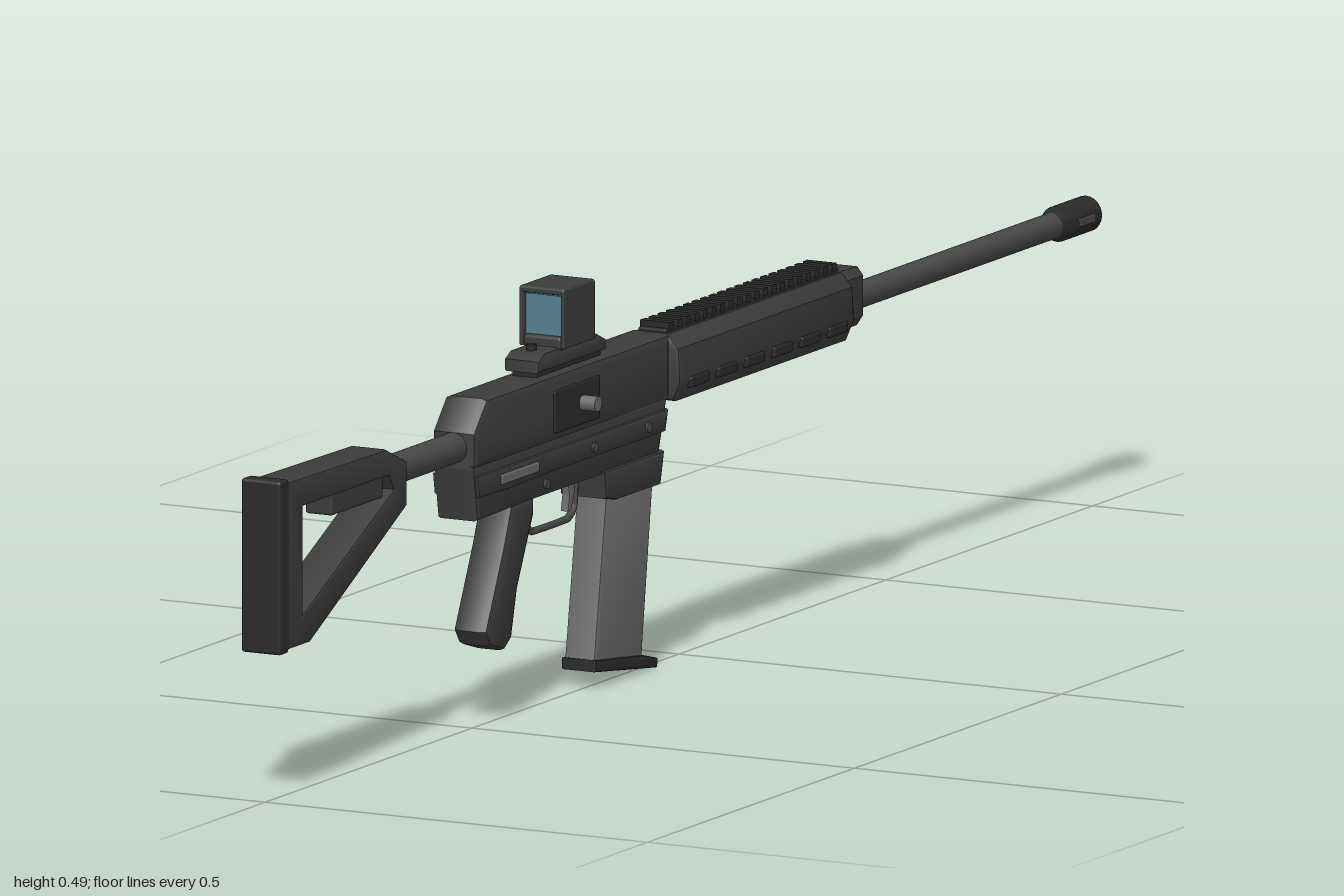
import * as THREE from 'three';
import { RoundedBoxGeometry } from 'three/addons/geometries/RoundedBoxGeometry.js';
import { toCreasedNormals } from 'three/addons/utils/BufferGeometryUtils.js';

const CX = -0.006; // centre plane of the rifle

function material(name, color) {
  const m = new THREE.MeshStandardMaterial({ color });
  m.name = name;
  return m;
}

export function createModel() {
  const body = material('dark grey polymer', 0x3c3c3c);
  const metal = material('barrel steel', 0x484848);
  const black = material('black trim', 0x2a2a2a);
  const light = material('light steel', 0x6c6c6c);
  const glass = material('lens glass', 0x55808f);
  glass.side = THREE.DoubleSide;

  const model = new THREE.Group();
  model.name = 'rifle';

  function add(name, geometry, mat, x = CX, y = 0, z = 0, parent = model) {
    const mesh = new THREE.Mesh(geometry, mat);
    mesh.name = name;
    mesh.position.set(x, y, z);
    parent.add(mesh);
    return mesh;
  }

  function extrude(shape, depth, bevel) {
    const g = new THREE.ExtrudeGeometry(shape, {
      depth: depth - 2 * bevel, bevelEnabled: bevel > 0, bevelThickness: bevel,
      bevelSize: bevel, bevelOffset: -bevel, bevelSegments: 2, curveSegments: 8,
    });
    g.translate(0, 0, bevel - depth / 2);
    return g;
  }

  // Side profile given as [z, y] points, extruded across the width
  function side(points, width, bevel = 0.005, hole = null) {
    const flip = (list) => list.map(([z, y]) => new THREE.Vector2(-z, y));
    const shape = new THREE.Shape(flip(points));
    if (hole) shape.holes.push(new THREE.Path(flip(hole)));
    return toCreasedNormals(extrude(shape, width, bevel).rotateY(Math.PI / 2), 0.5);
  }

  // Cross-section given as [x, y] points, extruded along z
  function section(points, length, bevel = 0.005) {
    const shape = new THREE.Shape(points.map(([x, y]) => new THREE.Vector2(x, y)));
    return toCreasedNormals(extrude(shape, length, bevel), 0.5);
  }

  const box = (w, h, d, r = 0.004) => new RoundedBoxGeometry(w, h, d, 2, r);
  const rod = (r, z0, z1, r2 = r) =>
    new THREE.CylinderGeometry(r2, r, Math.abs(z1 - z0), 24).rotateX(Math.PI / 2);

  // Stock: triangular frame, cheek block, butt pad
  add('stockFrame', side(
    [[0.985, 0.373], [0.74, 0.37], [0.69, 0.348], [0.69, 0.296], [0.925, 0.176], [0.985, 0.176]],
    0.05, 0.004,
    [[0.942, 0.338], [0.942, 0.212], [0.722, 0.32], [0.735, 0.338]]), body);
  add('cheekBlock', box(0.036, 0.034, 0.125), body, CX, 0.329, 0.798);
  add('buttPad', box(0.052, 0.204, 0.022), black, CX, 0.275, 0.989);
  add('stockTube', rod(0.018, 0.53, 0.72), metal, CX, 0.334, 0.625);

  // Receiver
  add('upperReceiver', side(
    [[0.535, 0.31], [0.535, 0.352], [0.503, 0.388], [0.06, 0.388], [0.06, 0.31]],
    0.057, 0.008), body);
  add('lowerReceiver', side(
    [[0.535, 0.315], [0.524, 0.248], [0.4, 0.25], [0.085, 0.25], [0.065, 0.315]],
    0.054, 0.005), body);
  add('receiverRidge', side(
    [[0.53, 0.302], [0.526, 0.276], [0.44, 0.274], [0.36, 0.276], [0.075, 0.276], [0.068, 0.302]],
    0.061, 0.004), body);
  add('magazineWell', side(
    [[0.225, 0.255], [0.22, 0.222], [0.19, 0.216], [0.087, 0.216], [0.078, 0.255]],
    0.062, 0.005), body);

  // Ejection cover and bolt handle on the left
  add('ejectionCover', box(0.006, 0.05, 0.11, 0.002), black, CX + 0.028, 0.345, 0.29);
  add('boltStem', new THREE.CylinderGeometry(0.006, 0.006, 0.04, 12).rotateZ(Math.PI / 2),
    metal, 0.024, 0.346, 0.28);
  add('boltKnob', new THREE.CylinderGeometry(0.009, 0.009, 0.02, 16).rotateZ(Math.PI / 2),
    light, 0.036, 0.346, 0.28);

  // Selector plates and pins on both sides
  for (const s of [1, -1]) {
    add('selectorPlate', box(0.004, 0.012, 0.09, 0.0018), light, CX + s * 0.0305, 0.289, 0.43);
    for (const [y, z] of [[0.264, 0.36], [0.288, 0.25], [0.289, 0.12]]) {
      add('receiverPin', new THREE.CylinderGeometry(0.006, 0.006, 0.006, 12).rotateZ(Math.PI / 2),
        metal, CX + s * (y < 0.27 ? 0.027 : 0.03), y, z);
    }
  }

  // Pistol grip
  add('grip', side(
    [[0.432, 0.255], [0.452, 0.205], [0.496, 0.112], [0.484, 0.094], [0.448, 0.083],
      [0.43, 0.095], [0.416, 0.15], [0.376, 0.232], [0.376, 0.255]],
    0.046, 0.009), body);

  // Trigger guard and trigger
  const guard = new THREE.CatmullRomCurve3(
    [[0.25, 0.365], [0.215, 0.36], [0.203, 0.345], [0.203, 0.26], [0.215, 0.243], [0.25, 0.24]]
      .map(([y, z]) => new THREE.Vector3(0, y, z)), false, 'catmullrom', 0.2);
  add('triggerGuard', new THREE.TubeGeometry(guard, 32, 0.0045, 8), metal);
  add('trigger', side(
    [[0.268, 0.255], [0.262, 0.232], [0.266, 0.213], [0.258, 0.213], [0.25, 0.232], [0.25, 0.255]],
    0.01, 0.001), light);

  // Magazine and floor plate
  add('magazine', side(
    [[0.2, 0.225], [0.23, 0.03], [0.114, 0.014], [0.086, 0.225]], 0.04, 0.004), light);
  add('floorPlate', side(
    [[0.231, 0.034], [0.231, 0.02], [0.082, 0], [0.08, 0.011], [0.114, 0.02]],
    0.046, 0.003), black);

  // Handguard with raised side slots
  add('handguard', section(
    [[-0.022, 0.386], [-0.036, 0.37], [-0.038, 0.33], [-0.028, 0.307],
      [0.028, 0.307], [0.038, 0.33], [0.036, 0.37], [0.022, 0.386]],
    0.425, 0.007), body, CX, 0, -0.157);
  for (const s of [1, -1]) {
    for (let i = 0; i < 6; i++) {
      add('handguardSlot', box(0.008, 0.013, 0.045, 0.003), black,
        CX + s * 0.0365, 0.327, 0.01 - i * 0.067);
    }
  }

  // Top rail with teeth
  add('railBase', box(0.036, 0.01, 0.42, 0.002), black, CX, 0.386, -0.155);
  for (let i = 0; i < 20; i++) {
    add('railTooth', new THREE.BoxGeometry(0.038, 0.009, 0.011), black, CX, 0.3935, 0.042 - i * 0.0207);
  }

  // Front block, barrel and muzzle
  add('frontBlock', section(
    [[-0.018, 0.385], [-0.026, 0.375], [-0.026, 0.328], [-0.018, 0.316],
      [0.018, 0.316], [0.026, 0.328], [0.026, 0.375], [0.018, 0.385]],
    0.055, 0.004), body, CX, 0, -0.384);
  add('barrel', rod(0.0155, -0.38, -0.99), metal, CX, 0.343, -0.685);
  const muzzle = [[0.009, -0.97], [0.009, -1], [0.018, -1], [0.021, -0.995], [0.021, -0.925], [0.0155, -0.91]]
    .map(([r, z]) => new THREE.Vector2(r, z));
  add('muzzleBrake', toCreasedNormals(
    new THREE.LatheGeometry(muzzle, 24).rotateX(Math.PI / 2).scale(1, 1, 1), 0.5), black, CX, 0.343, 0)
    .material.side = THREE.DoubleSide;
  for (const s of [1, -1]) {
    add('muzzlePort', box(0.004, 0.01, 0.04, 0.0015), metal, CX + s * 0.02, 0.343, -0.96);
  }

  // Sight: mount, neck, hood and lenses
  const sight = new THREE.Group();
  sight.name = 'reflexSight';
  model.add(sight);
  add('sightNeck', box(0.032, 0.018, 0.16), black, CX, 0.39, 0.285, sight);
  add('sightMount', side(
    [[0.37, 0.394], [0.37, 0.408], [0.355, 0.416], [0.225, 0.416], [0.205, 0.407], [0.205, 0.394]],
    0.046, 0.004), body, CX, 0, 0, sight);
  add('sightKnob', new THREE.CylinderGeometry(0.0065, 0.0065, 0.012, 16), black, CX, 0.417, 0.345, sight);
  add('sightBase', box(0.05, 0.016, 0.074), body, CX, 0.42, 0.283, sight);
  add('hoodTop', box(0.059, 0.008, 0.076, 0.003), body, CX, 0.481, 0.283, sight);
  for (const s of [1, -1]) {
    add('hoodWall', box(0.005, 0.069, 0.076, 0.002), body, CX + s * 0.027, 0.449, 0.283, sight);
  }
  for (const z of [0.255, 0.311]) {
    add('lens', new THREE.BoxGeometry(0.05, 0.048, 0.004), glass, CX, 0.451, z, sight);
  }

  return model;
}
